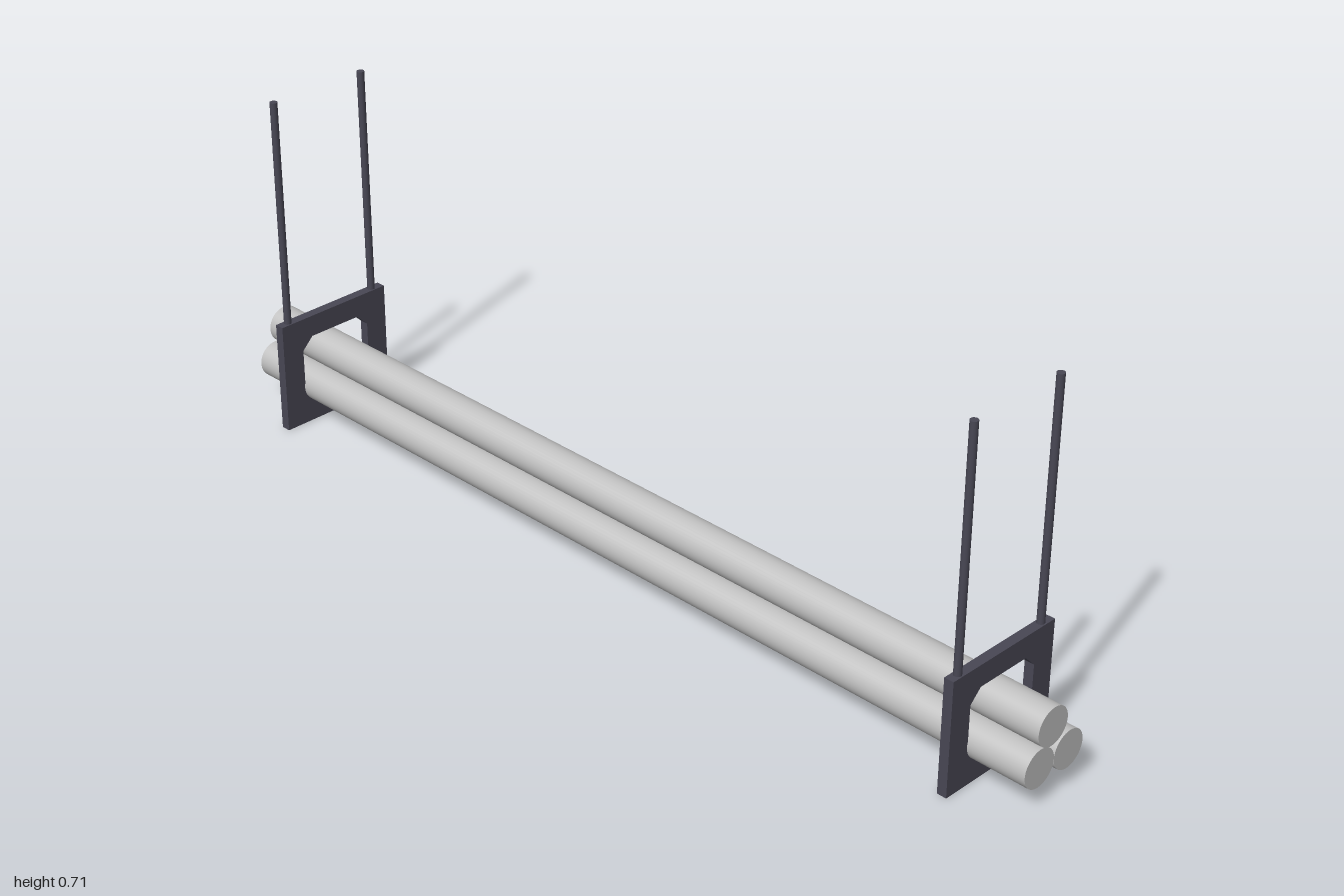
import * as THREE from 'three';

export function createModel() {
  const group = new THREE.Group();
  const pipeGrey = new THREE.MeshStandardMaterial({ color: 0xc0c0c0 });
  pipeGrey.name = 'pipeGrey';
  const bracketGrey = new THREE.MeshStandardMaterial({ color: 0x484754 });
  bracketGrey.name = 'bracketGrey';

  const add = (name, geometry, material, x, y, z) => {
    const mesh = new THREE.Mesh(geometry, material);
    mesh.name = name;
    mesh.position.set(x, y, z);
    group.add(mesh);
  };

  // Bundle of three long pipes
  const pipeGeo = new THREE.CylinderGeometry(0.0385, 0.0385, 2, 40).rotateX(Math.PI / 2);
  add('topPipe', pipeGeo, pipeGrey, -0.018, 0.151, 0);
  add('lowerRightPipe', pipeGeo, pipeGrey, -0.047, 0.081, 0);
  add('lowerLeftPipe', pipeGeo, pipeGrey, 0.03, 0.081, 0);

  // Hanger plate with a chamfered rectangular opening
  const points = (list) => list.map(([x, y]) => new THREE.Vector2(x, y));
  const W = 0.133, H = 0.235;
  const shape = new THREE.Shape(points([[-W, 0], [W, 0], [W, H], [-W, H]]));
  const a = 0.084, b = 0.045, t = 0.19, c = 0.025;
  shape.holes.push(new THREE.Path(points([
    [-a + c, b], [-a, b + c], [-a, t - c], [-a + c, t],
    [a - c, t], [a, t - c], [a, b + c], [a - c, b],
  ])));
  const depth = 0.02;
  const plateGeo = new THREE.ExtrudeGeometry(shape, { depth, bevelEnabled: false });
  plateGeo.translate(0, 0, -depth / 2);

  // Thin suspension rods rising from each plate
  const rodBase = 0.22, rodTop = 0.715;
  const rodGeo = new THREE.CylinderGeometry(0.0077, 0.0077, rodTop - rodBase, 16);

  for (const [end, z] of [['front', 0.868], ['back', -0.868]]) {
    add(end + 'HangerPlate', plateGeo, bracketGrey, 0, 0, z);
    add(end + 'RightRod', rodGeo, bracketGrey, -0.111, (rodBase + rodTop) / 2, z);
    add(end + 'LeftRod', rodGeo, bracketGrey, 0.107, (rodBase + rodTop) / 2, z);
  }
  return group;
}
